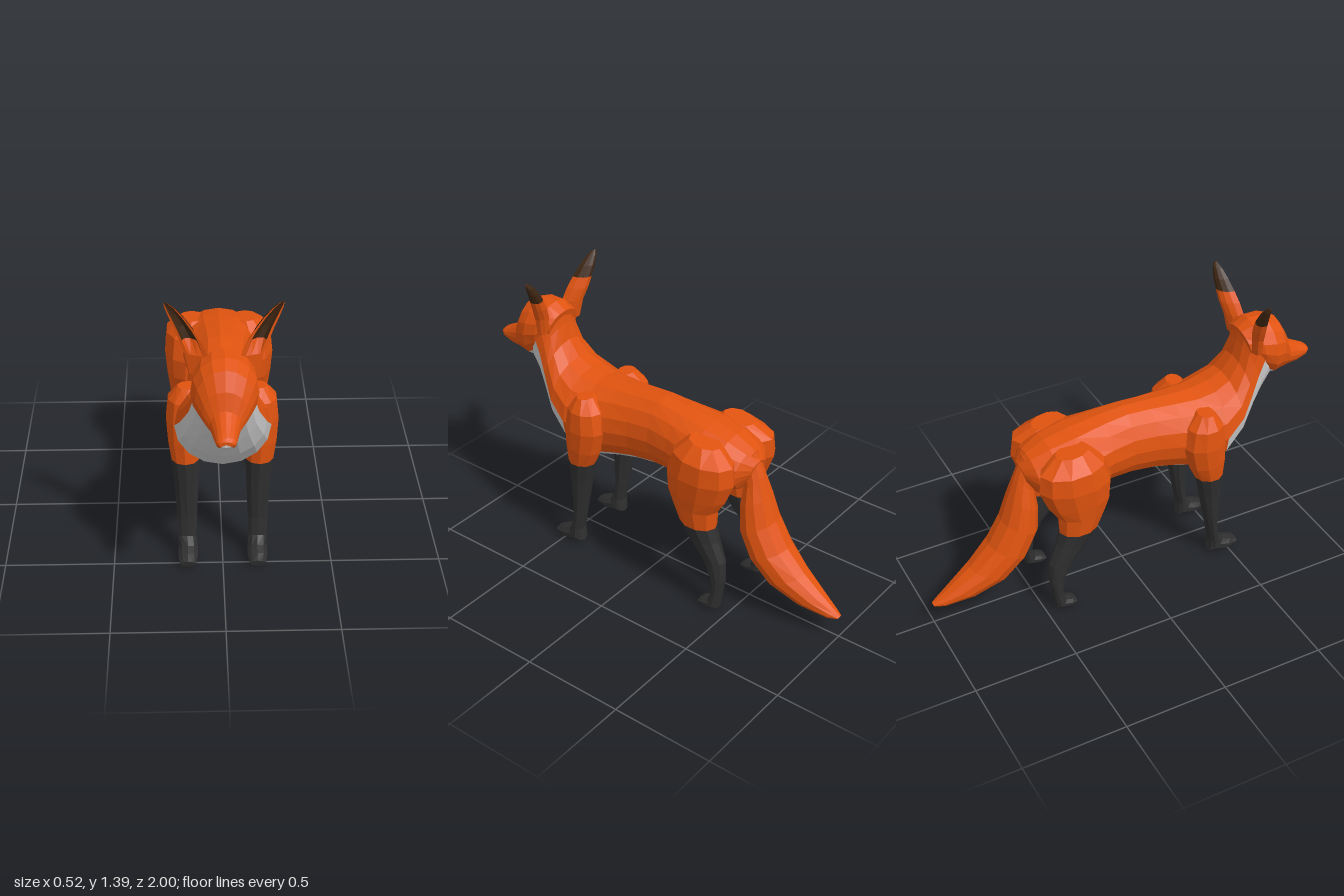
import * as THREE from 'three';

const mat = (name, color) => Object.assign(new THREE.MeshStandardMaterial({ color }), { name });

// Closed ring spanning two (z, y) points, with half width hw about x = cx; point 0 is at the second one.
function ring([z1, y1, z0, y0, hw, cx = 0], n, side = 1) {
  return Array.from({ length: n }, (_, j) => {
    const a = (j / n) * Math.PI * 2, k = (1 - Math.cos(a)) / 2;
    return new THREE.Vector3(side * (cx + hw * Math.sin(a)), y0 + (y1 - y0) * k, z0 + (z1 - z0) * k);
  });
}

// Faceted skin over rings with capped ends; pick(i, j) chooses the material of each facet.
function loft(name, rings, materials, pick) {
  const buckets = materials.map(() => []);
  const n = rings[0].length;
  let volume = 0;
  const tri = (m, a, b, c) => {
    volume += a.dot(b.clone().cross(c));
    buckets[m].push([a, b, c]);
  };
  const middle = (r) => r.reduce((s, p) => s.add(p), new THREE.Vector3()).divideScalar(n);
  const last = rings.length - 1;
  const c0 = middle(rings[0]), c1 = middle(rings[last]);
  for (let j = 0; j < n; j++) {
    const k = (j + 1) % n;
    for (let i = 0; i < last; i++) {
      const [a, b, c, d] = [rings[i][j], rings[i][k], rings[i + 1][k], rings[i + 1][j]];
      tri(pick(i, j), a, b, c);
      tri(pick(i, j), a, c, d);
    }
    tri(pick(0, j), c0, rings[0][k], rings[0][j]);
    tri(pick(last - 1, j), c1, rings[last][j], rings[last][k]);
  }
  // Turn all facets outward, then group them by material
  const geo = new THREE.BufferGeometry(), pos = [];
  buckets.forEach((list, m) => {
    const start = pos.length / 3;
    for (const [a, b, c] of list) for (const p of volume > 0 ? [a, b, c] : [a, c, b]) pos.push(p.x, p.y, p.z);
    geo.addGroup(start, list.length * 3, m);
  });
  geo.setAttribute('position', new THREE.Float32BufferAttribute(pos, 3));
  geo.computeVertexNormals();
  const mesh = new THREE.Mesh(geo, materials);
  mesh.name = name;
  return mesh;
}

// Rows: upper z, upper y, lower z, lower y, half width, centre x
const TORSO = [
  [-0.53, 0.77, -0.51, 0.68, 0.06],
  [-0.49, 0.82, -0.47, 0.62, 0.13],
  [-0.40, 0.865, -0.38, 0.57, 0.18],
  [-0.28, 0.89, -0.28, 0.57, 0.2],
  [-0.12, 0.91, -0.12, 0.57, 0.165],
  [0, 0.92, 0, 0.56, 0.15],
  [0.12, 0.912, 0.12, 0.545, 0.155],
  [0.25, 0.903, 0.22, 0.525, 0.175],
  [0.36, 0.90, 0.35, 0.487, 0.2],
  [0.45, 0.915, 0.46, 0.51, 0.215],
  [0.53, 0.945, 0.57, 0.62, 0.19],
  [0.585, 1.02, 0.65, 0.73, 0.15],
  [0.605, 1.10, 0.715, 0.82, 0.13],
  [0.615, 1.17, 0.765, 0.885, 0.125],
  [0.66, 1.18, 0.79, 0.92, 0.09],
];
const HEAD = [
  [0.605, 1.165, 0.64, 1.02, 0.1],
  [0.66, 1.2, 0.72, 0.93, 0.135],
  [0.74, 1.2, 0.765, 0.89, 0.143],
  [0.805, 1.175, 0.805, 0.895, 0.125],
  [0.85, 1.1, 0.845, 0.892, 0.095],
  [0.875, 1.025, 0.875, 0.89, 0.066],
  [0.93, 0.995, 0.93, 0.89, 0.052],
  [0.985, 0.967, 0.98, 0.908, 0.042],
  [1.0, 0.955, 1.0, 0.93, 0.03],
];
const TAIL = [
  [-0.51, 0.81, -0.44, 0.76, 0.04],
  [-0.555, 0.70, -0.46, 0.62, 0.06],
  [-0.59, 0.6, -0.45, 0.52, 0.09],
  [-0.63, 0.48, -0.46, 0.40, 0.11],
  [-0.70, 0.36, -0.52, 0.28, 0.115],
  [-0.80, 0.26, -0.62, 0.175, 0.1],
  [-0.90, 0.185, -0.78, 0.11, 0.07],
  [-0.97, 0.135, -0.94, 0.09, 0.035],
  [-1.0, 0.115, -0.99, 0.1, 0.015],
];
const FRONT_LEG = [
  [0.40, 0.86, 0.32, 0.86, 0.05, 0.15],
  [0.44, 0.80, 0.26, 0.80, 0.08, 0.165],
  [0.455, 0.70, 0.24, 0.70, 0.085, 0.17],
  [0.455, 0.60, 0.27, 0.58, 0.075, 0.172],
  [0.45, 0.50, 0.31, 0.50, 0.065, 0.167],
  [0.445, 0.40, 0.335, 0.40, 0.058, 0.163],
  [0.437, 0.20, 0.375, 0.20, 0.047, 0.162],
  [0.445, 0.11, 0.40, 0.08, 0.044, 0.162],
  [0.475, 0.075, 0.39, 0.015, 0.047, 0.16],
  [0.515, 0.06, 0.47, 0, 0.048, 0.16],
  [0.55, 0.042, 0.545, 0.01, 0.036, 0.16],
];
const HIND_LEG = [
  [-0.24, 0.87, -0.40, 0.85, 0.06, 0.13],
  [-0.17, 0.80, -0.49, 0.79, 0.1, 0.155],
  [-0.14, 0.70, -0.50, 0.70, 0.105, 0.16],
  [-0.15, 0.60, -0.46, 0.60, 0.09, 0.165],
  [-0.18, 0.53, -0.415, 0.53, 0.08, 0.165],
  [-0.22, 0.44, -0.41, 0.44, 0.07, 0.165],
  [-0.27, 0.36, -0.43, 0.37, 0.058, 0.165],
  [-0.355, 0.26, -0.47, 0.27, 0.045, 0.168],
  [-0.40, 0.17, -0.475, 0.17, 0.038, 0.172],
  [-0.41, 0.09, -0.46, 0.08, 0.036, 0.175],
  [-0.395, 0.05, -0.45, 0.01, 0.042, 0.175],
  [-0.365, 0.04, -0.385, 0, 0.042, 0.175],
  [-0.345, 0.026, -0.347, 0.008, 0.034, 0.175],
];
// Ear rows: y, centre x, z, half width, depth, hollow share of the depth
const EAR = [
  [1.08, 0.10, 0.67, 0.045, 0.04, 0],
  [1.17, 0.113, 0.665, 0.05, 0.05, 0],
  [1.23, 0.14, 0.655, 0.048, 0.055, 0.6],
  [1.28, 0.165, 0.645, 0.042, 0.05, 0.7],
  [1.33, 0.195, 0.635, 0.034, 0.04, 0.7],
  [1.37, 0.222, 0.627, 0.022, 0.025, 0.6],
  [1.39, 0.24, 0.622, 0.008, 0.008, 0.3],
];

// Crescent cross-section: 7 points round the back, 5 inside the hollow
function earRing([y, cx, z, w, d, hollow], side) {
  const at = (u, v) => new THREE.Vector3(side * (cx + u), y, z + v - 0.35 * u);
  const pts = [];
  for (let j = 0; j <= 6; j++) pts.push(at(-w * Math.cos((j * Math.PI) / 6), -d * Math.sin((j * Math.PI) / 6)));
  for (let j = 0; j <= 4; j++) {
    pts.push(at(0.72 * w * Math.cos((j * Math.PI) / 4), -d * hollow * Math.sin((j * Math.PI) / 4)));
  }
  return pts;
}

export function createModel() {
  const orange = mat('orange fur', 0xe0530f);
  const white = mat('pale fur', 0xc8c8c8);
  const black = mat('black fur', 0x2e2e2e);
  const brown = mat('dark ear fur', 0x3d2512);
  const model = new THREE.Group();
  model.name = 'fox';

  // Pale facets lie within m steps of the underside
  const under = (j, m) => (j < m || j >= 16 - m ? 1 : 0);
  const rings = (rows, n, side) => rows.map((r) => ring(r, n, side));
  model.add(
    loft('torsoAndNeck', rings(TORSO, 16), [orange, white], (i, j) => under(j, i >= 9 ? 4 : i >= 2 ? 2 : 0)),
    loft('head', rings(HEAD, 16), [orange, white], (i, j) => under(j, 2)),
    loft('tail', rings(TAIL, 12), [orange], () => 0),
  );

  // Paired legs and ears
  for (const [side, label] of [[1, 'left'], [-1, 'right']]) {
    model.add(
      loft(label + 'FrontLeg', rings(FRONT_LEG, 10, side), [orange, black], (i) => (i >= 4 ? 1 : 0)),
      loft(label + 'HindLeg', rings(HIND_LEG, 10, side), [orange, black], (i) => (i >= 5 ? 1 : 0)),
      loft(label + 'Ear', EAR.map((r) => earRing(r, side)), [orange, brown], (i, j) => {
        if (j === 6 || j === 11) return 0;
        return i >= (j < 6 ? 3 : 2) ? 1 : 0;
      }),
    );
  }
  return model;
}
